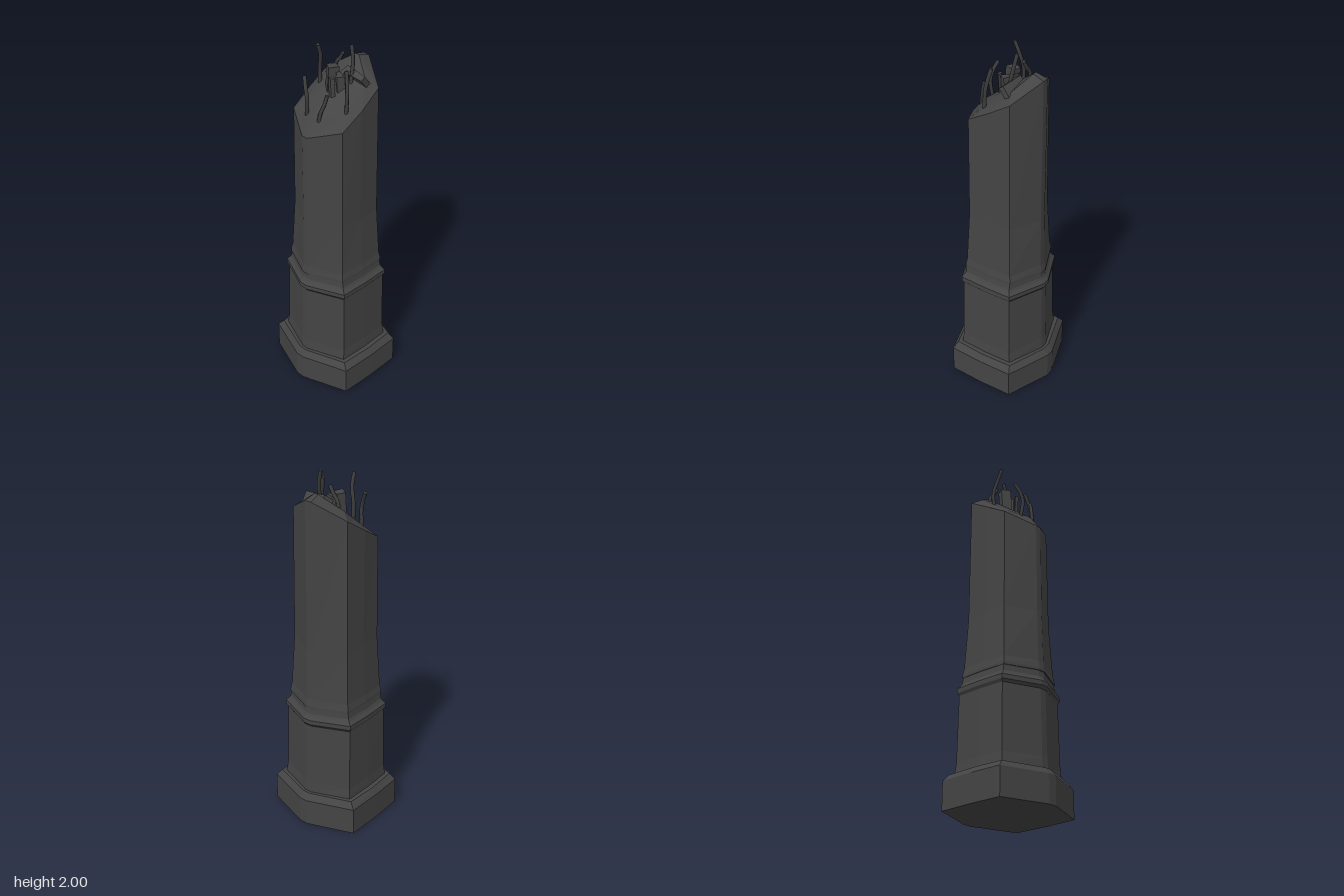
import * as THREE from 'three';

const stone = new THREE.MeshStandardMaterial({ color: 0x444444, flatShading: true });
const metal = new THREE.MeshStandardMaterial({ color: 0x3c3c3c });

// Ten-cornered outline: w = half width, e = half of the narrow side face,
// c / d = corner x / z, m = z at the middle of the front
const outline = (w, e, c, d, m) => [
  [w, e], [c, d], [0, m], [-c, d], [-w, e],
  [-w, -e], [-c, -d], [0, -m], [c, -d], [w, -e],
];
const ring = ([y, ...p]) => outline(...p).map(([x, z]) => [x, y, z]);

// Skin a stack of rings (bottom to top) and close both ends
function loft(rings) {
  const n = rings[0].length, pos = [], idx = [];
  rings.forEach((r) => r.forEach((p) => pos.push(...p)));
  for (let i = 0; i < rings.length - 1; i++) {
    for (let j = 0; j < n; j++) {
      const a = i * n + j, b = i * n + (j + 1) % n;
      idx.push(a, a + n, b, b, a + n, b + n);
    }
  }
  const cap = (r, start, up) => {
    const centre = pos.length / 3;
    pos.push(...[0, 1, 2].map((k) => r.reduce((s, p) => s + p[k], 0) / n));
    for (let j = 0; j < n; j++) {
      const a = start + j, b = start + (j + 1) % n;
      if (up) idx.push(centre, b, a);
      else idx.push(centre, a, b);
    }
  };
  cap(rings[0], 0, false);
  cap(rings[rings.length - 1], (rings.length - 1) * n, true);
  const g = new THREE.BufferGeometry();
  g.setAttribute('position', new THREE.Float32BufferAttribute(pos, 3));
  g.setIndex(idx);
  g.computeVertexNormals();
  return g;
}

// Height of the broken edge, and of the mound inside it
function rimHeight(x) {
  const xs = [-0.22, -0.125, 0, 0.125, 0.215], ys = [1.575, 1.635, 1.71, 1.79, 1.88];
  let i = 0;
  while (i < 3 && x > xs[i + 1]) i++;
  return THREE.MathUtils.mapLinear(x, xs[i], xs[i + 1], ys[i], ys[i + 1]);
}
const moundHeight = (x, z) => 1.783 + 0.78 * x - 2 * z * z;

export function createModel() {
  const model = new THREE.Group();
  const add = (name, geometry, material = stone) => {
    const mesh = new THREE.Mesh(geometry, material);
    mesh.name = name;
    model.add(mesh);
    return mesh;
  };

  // Plinth with chamfered top
  add('plinth', loft([
    [0, 0.285, 0.025, 0.193, 0.28, 0.286],
    [0.155, 0.285, 0.025, 0.193, 0.28, 0.286],
    [0.19, 0.258, 0.023, 0.177, 0.25, 0.26],
  ].map(ring)));

  // Lower drum
  add('drum', loft([
    [0.185, 0.243, 0.02, 0.162, 0.229, 0.235],
    [0.25, 0.238, 0.02, 0.155, 0.223, 0.229],
    [0.63, 0.233, 0.02, 0.15, 0.217, 0.222],
  ].map(ring)));

  // Moulded collar and the recess above it
  add('collar', loft([
    [0.615, 0.234, 0.02, 0.15, 0.217, 0.222],
    [0.63, 0.246, 0.021, 0.157, 0.226, 0.231],
    [0.655, 0.246, 0.021, 0.157, 0.226, 0.231],
    [0.672, 0.232, 0.02, 0.148, 0.21, 0.216],
    [0.685, 0.225, 0.02, 0.143, 0.203, 0.209],
    [0.725, 0.222, 0.02, 0.142, 0.198, 0.204],
  ].map(ring)));

  // Tapered shaft ending in a slanted, mounded break
  const rim = outline(0.216, 0.018, 0.125, 0.175, 0.183).map(([x, z]) => [x, rimHeight(x), z]);
  const mound = (k) => rim.map(([x, , z]) => [x * k, moundHeight(x * k, z * k), z * k]);
  add('brokenShaft', loft([
    ...[
      [0.718, 0.228, 0.02, 0.146, 0.201, 0.208],
      [0.732, 0.228, 0.02, 0.146, 0.201, 0.208],
      [0.77, 0.222, 0.02, 0.14, 0.194, 0.201],
      [1.06, 0.216, 0.018, 0.128, 0.18, 0.186],
    ].map(ring),
    rim, mound(0.7), mound(0.35),
  ]));

  // Bent reinforcing bars
  [
    [[-0.14, 1.64, -0.06], [-0.148, 1.75, -0.05], [-0.142, 1.8, -0.065], [-0.125, 1.85, -0.09]],
    [[-0.15, 1.62, 0.03], [-0.14, 1.69, 0.035], [-0.125, 1.74, 0.048], [-0.112, 1.79, 0.055]],
    [[-0.055, 1.68, 0.13], [-0.05, 1.8, 0.13], [-0.04, 1.86, 0.12], [-0.03, 1.915, 0.105]],
    [[0.005, 1.72, -0.115], [0.008, 1.83, -0.12], [-0.005, 1.92, -0.1], [-0.03, 1.985, -0.093]],
    [[0.075, 1.78, -0.08], [0.075, 1.85, -0.075], [0.073, 1.89, -0.045], [0.073, 1.93, -0.022]],
    [[0.04, 1.76, 0.06], [0.05, 1.84, 0.062], [0.065, 1.92, 0.055], [0.074, 1.995, 0.036]],
  ].forEach((points, i) => {
    const curve = new THREE.CatmullRomCurve3(points.map((p) => new THREE.Vector3(...p)));
    const bar = add('bar' + (i + 1), new THREE.TubeGeometry(curve, 10, 0.01, 7), metal);
    const tip = new THREE.Mesh(new THREE.CircleGeometry(0.01, 7), metal);
    tip.name = 'barEnd';
    tip.position.copy(curve.getPoint(1));
    tip.lookAt(tip.position.clone().add(curve.getTangent(1)));
    bar.add(tip);
  });

  // Jagged splinters of the core, extruded from simple plan shapes
  const splinter = (name, plan, depth, position, tilt) => {
    const shape = new THREE.Shape(plan.map(([x, z]) => new THREE.Vector2(x, -z)));
    const g = new THREE.ExtrudeGeometry(shape, { depth, bevelEnabled: false });
    g.rotateX(-Math.PI / 2);
    const mesh = add(name, g);
    mesh.position.set(...position);
    mesh.rotation.z = tilt;
  };
  splinter('coreBlock', [[-0.04, 0], [-0.01, -0.045], [0.03, -0.025], [0.015, 0.02]],
    0.13, [0, 1.75, -0.018], -0.08);
  splinter('coreSpike', [[0.005, 0.01], [0.025, -0.04], [0.045, -0.03], [0.012, 0.055], [-0.02, 0.035], [-0.015, 0.02]],
    0.1, [0, 1.75, 0], 0.05);
  splinter('coreShard', [[-0.045, 0.0], [-0.03, 0.01], [-0.035, 0.035], [-0.05, 0.02]],
    0.14, [0, 1.71, 0], 0.03);
  splinter('crackedSlab', [[-0.035, 0.02], [-0.025, -0.01], [0.033, 0.01], [0.017, 0.14], [-0.013, 0.14], [-0.008, 0.02]],
    0.07, [0.09, 1.795, 0], 0.62);

  return model;
}
